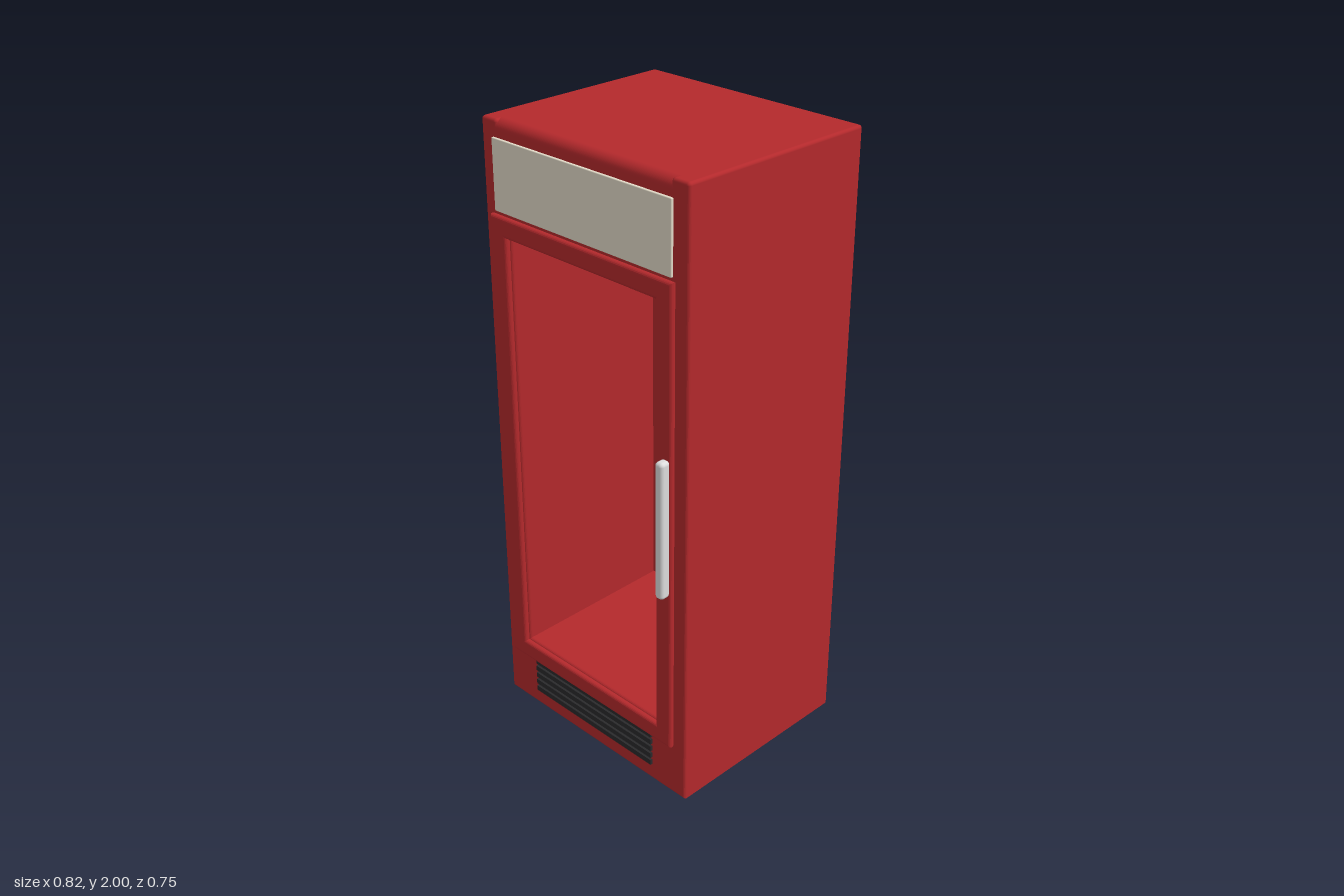
import * as THREE from 'three';
import { RoundedBoxGeometry } from 'three/addons/geometries/RoundedBoxGeometry.js';

const material = (name, color) => {
  const m = new THREE.MeshStandardMaterial({ color });
  m.name = name;
  return m;
};

// Rectangle from its limits, drawn into a Shape or a hole Path
function rect(path, x0, x1, y0, y1) {
  path.moveTo(x0, y0);
  path.lineTo(x1, y0);
  path.lineTo(x1, y1);
  path.lineTo(x0, y1);
  path.lineTo(x0, y0);
  return path;
}

// Extrusion from z0 to z1 whose bevel stays inside the outline
function extrude(shape, z0, z1, bevel) {
  const geometry = new THREE.ExtrudeGeometry(shape, {
    depth: z1 - z0 - 2 * bevel, bevelEnabled: bevel > 0, bevelThickness: bevel,
    bevelSize: bevel, bevelOffset: -bevel, bevelSegments: 4, curveSegments: 8,
  });
  return geometry.translate(0, 0, z0 + bevel);
}

export function createModel() {
  const model = new THREE.Group();
  model.name = 'displayFridge';
  const red = material('red enamel', 0xb4292c);
  const cream = material('cream panel', 0xe4dcc9);
  const steel = material('light grey metal', 0xdedede);
  const dark = material('dark grille', 0x2a2a2c);

  const add = (name, geometry, mat) => {
    const mesh = new THREE.Mesh(geometry, mat);
    mesh.name = name;
    model.add(mesh);
  };
  // Rounded box given by its limits
  const block = (name, mat, x0, x1, y0, y1, z0, z1, r) => {
    const g = new RoundedBoxGeometry(x1 - x0, y1 - y0, z1 - z0, 3, r);
    add(name, g.translate((x0 + x1) / 2, (y0 + y1) / 2, (z0 + z1) / 2), mat);
  };

  const BACK = -0.375, FRONT = 0.315;
  const opening = () => rect(new THREE.Path(), -0.305, 0.305, 0.248, 1.66);

  // Cabinet with its deep cavity
  const body = rect(new THREE.Shape(), -0.41, 0.41, 0, 1.95);
  body.holes.push(opening());
  add('cabinet', extrude(body, BACK, FRONT, 0.01), red);
  const wall = new THREE.BoxGeometry(0.65, 1.46, 0.115);
  add('backWall', wall.translate(0, 0.955, BACK + 0.0575), red);

  // Top: a wide soft front edge between two squarer corners
  const profile = new THREE.Shape();
  profile.moveTo(FRONT, 1.9);
  profile.absarc(FRONT - 0.03, 1.97, 0.03, 0, Math.PI / 2);
  profile.absarc(BACK + 0.01, 1.99, 0.01, Math.PI / 2, Math.PI);
  profile.lineTo(BACK, 1.9);
  profile.lineTo(FRONT, 1.9);
  const top = extrude(profile, -0.355, 0.355, 0);
  add('topPanel', top.rotateY(-Math.PI / 2), red);
  block('topCornerRight', red, -0.41, -0.345, 1.88, 2, BACK, FRONT, 0.01);
  block('topCornerLeft', red, 0.345, 0.41, 1.88, 2, BACK, FRONT, 0.01);

  // Door frame
  const door = rect(new THREE.Shape(), -0.37, 0.366, 0.188, 1.722);
  door.holes.push(opening());
  add('doorFrame', extrude(door, FRONT - 0.002, 0.336, 0.01), red);

  // Header panel
  block('headerPanel', cream, -0.36, 0.354, 1.73, 1.948, FRONT - 0.006, 0.323, 0.003);

  // Ventilation slats
  for (let i = 0; i < 5; i++) {
    const y = 0.069 + i * 0.027;
    const slat = new THREE.BoxGeometry(0.54, 0.018, 0.014);
    add('grilleSlat' + (i + 1), slat.translate(0, y, FRONT + 0.001), dark);
  }

  // Handle
  block('handle', steel, 0.34, 0.371, 0.75, 1.2, 0.338, 0.375, 0.012);

  return model;
}
